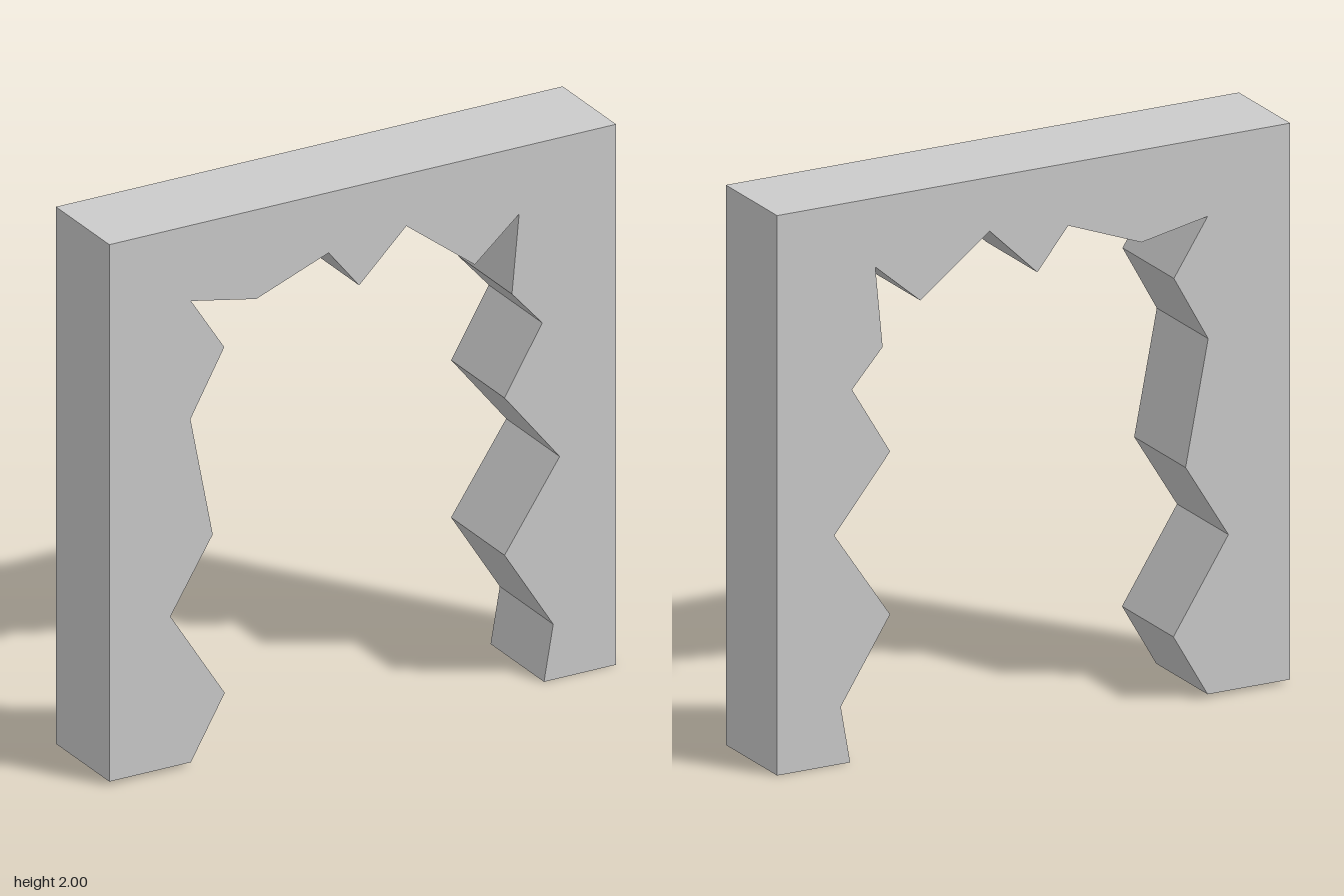
import * as THREE from 'three';

// Jagged opening, from the foot of the right leg up and over to the left leg
const opening = [
  [-0.67, 0.013], [-0.538, 0.24], [-0.75, 0.57], [-0.585, 0.837], [-0.672, 1.283],
  [-0.54, 1.52], [-0.67, 1.72], [-0.415, 1.67], [-0.133, 1.777], [-0.014, 1.63],
  [0.17, 1.808], [0.437, 1.605], [0.61, 1.753], [0.582, 1.463], [0.7, 1.33],
  [0.553, 1.085], [0.768, 0.82], [0.553, 0.503], [0.743, 0.205], [0.707, 0],
];

// Straight outer frame
const frame = [[0.988, 0], [0.988, 2], [-0.988, 2], [-0.988, 0.013]];

export function createModel() {
  const group = new THREE.Group();
  group.name = 'brokenWall';

  const depth = 0.36;
  const outline = new THREE.Shape([...opening, ...frame].map(([x, y]) => new THREE.Vector2(x, y)));
  const geometry = new THREE.ExtrudeGeometry(outline, { depth, bevelEnabled: false });
  geometry.translate(0, 0, -depth / 2);

  const material = new THREE.MeshStandardMaterial({ color: 0xcccccc, flatShading: true });
  const wall = new THREE.Mesh(geometry, material);
  wall.name = 'wallWithJaggedOpening';
  group.add(wall);
  return group;
}
